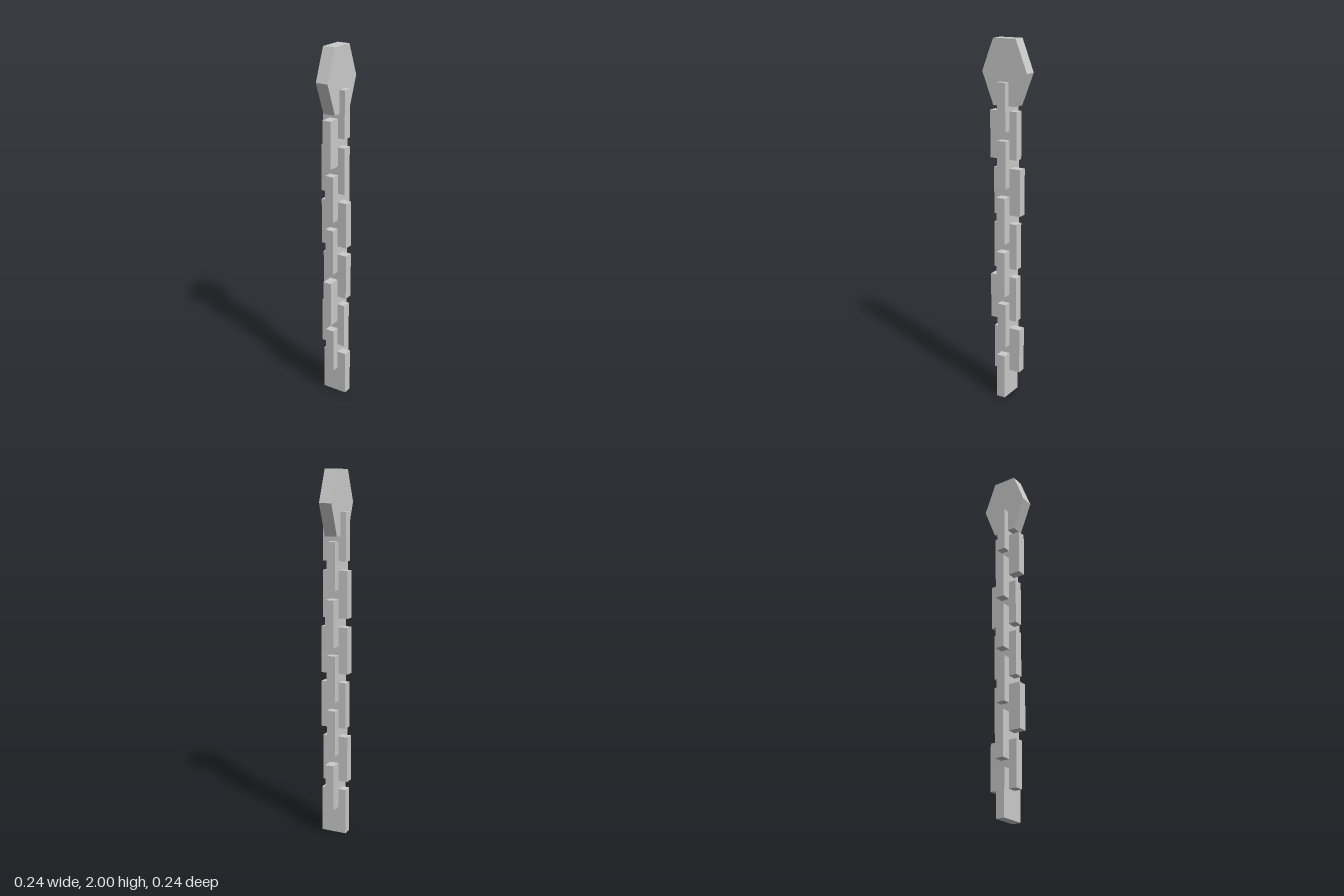
import * as THREE from 'three';

export function createModel() {
  const model = new THREE.Group();
  const mat = new THREE.MeshStandardMaterial({ color: 0xcccccc, flatShading: true });

  const strip = new THREE.Group();
  strip.name = 'chain';
  strip.rotation.y = Math.PI / 4; // chain hangs turned 45 degrees
  model.add(strip);

  // Hexagonal end plate
  const hex = new THREE.Shape([
    [-0.067, 1.655], [0.067, 1.655], [0.134, 1.828],
    [0.067, 2], [-0.067, 2], [-0.134, 1.828],
  ].map(([x, y]) => new THREE.Vector2(x, y)));
  const plateGeo = new THREE.ExtrudeGeometry(hex, { depth: 0.07, bevelEnabled: false });
  plateGeo.translate(0, 0, -0.035);
  const plate = new THREE.Mesh(plateGeo, mat);
  plate.name = 'endPlate';
  strip.add(plate);

  // Overlapping links, top to bottom, alternately crosswise and in line.
  // Each pair is the link's [min, max] reach along its wide direction.
  const reach = [
    [-0.067, 0.067], [-0.093, 0.068],
    [-0.078, 0.067], [-0.07, 0.09],
    [-0.078, 0.078], [-0.07, 0.07],
    [-0.067, 0.078], [-0.093, 0.068],
    [-0.078, 0.067], [-0.07, 0.09],
    [-0.067, 0.076],
  ];
  const height = 0.256, step = 0.1524, thick = 0.05;
  reach.forEach(([a, b], i) => {
    const cross = i % 2 === 0;
    const w = b - a, mid = (a + b) / 2;
    const geo = new THREE.BoxGeometry(cross ? thick : w, height, cross ? w : thick);
    const link = new THREE.Mesh(geo, mat);
    link.name = (cross ? 'crossLink' : 'flatLink') + (i + 1);
    link.position.set(cross ? 0 : mid, height / 2 + (reach.length - 1 - i) * step, cross ? mid : 0);
    strip.add(link);
  });

  return model;
}
